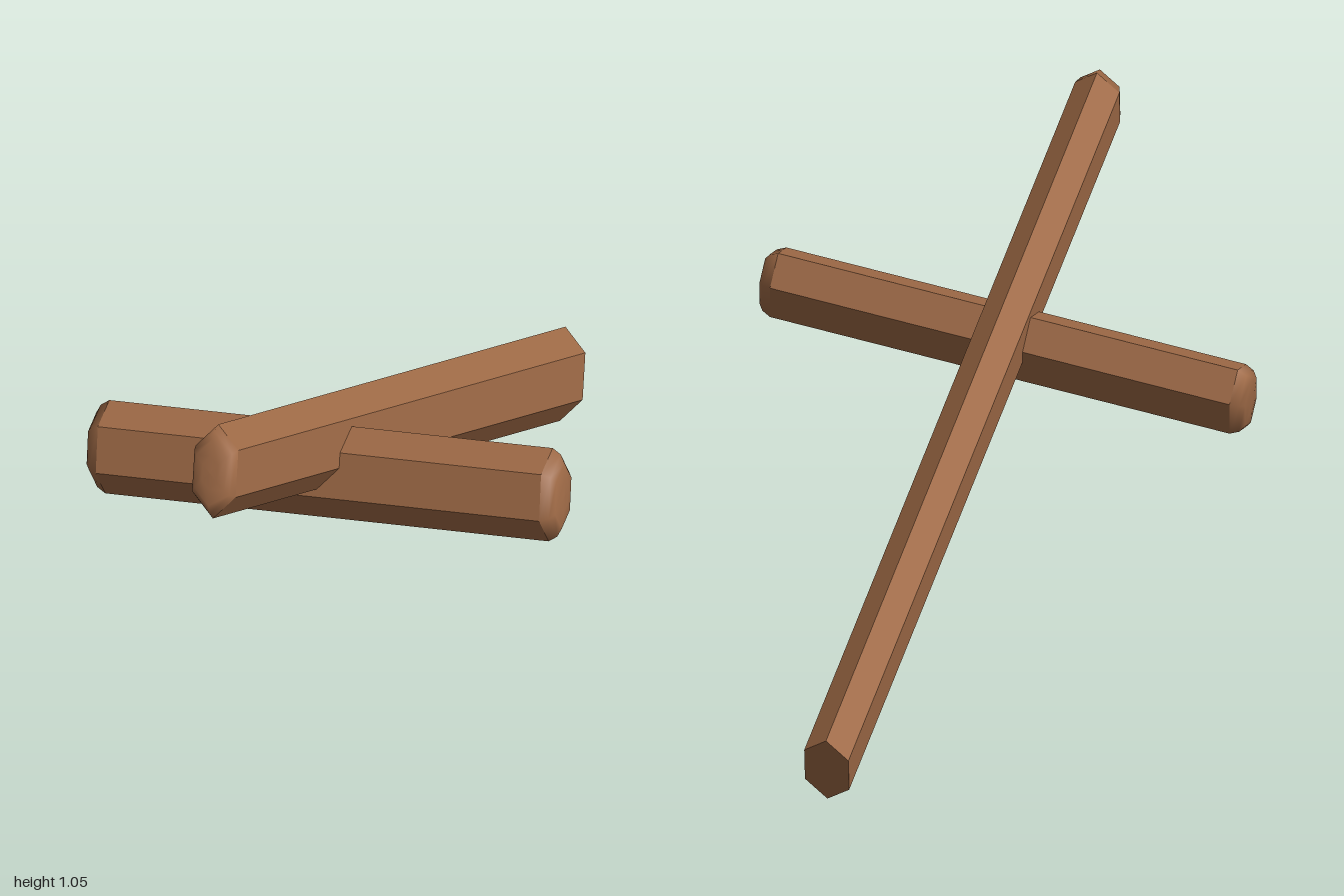
import * as THREE from 'three';

const wood = new THREE.MeshStandardMaterial({ color: 0xa06b47 });
wood.name = 'brown wood';

// Six-sided, flattened stick from one point to another.
// ridge points to one corner of the section; halfWidth is measured across it.
function stick(name, from, to, ridge, halfWidth, domes) {
  const a = new THREE.Vector3(...from);
  const b = new THREE.Vector3(...to);
  const r = new THREE.Vector3(...ridge);
  const radius = r.length();
  const length = a.distanceTo(b);
  const squash = halfWidth / (radius * Math.cos(Math.PI / 6));

  const group = new THREE.Group();
  group.name = name;

  // Faceted shaft
  const shaftGeo = new THREE.CylinderGeometry(radius, radius, length, 6).toNonIndexed();
  shaftGeo.scale(squash, 1, 1);
  shaftGeo.computeVertexNormals();
  const shaft = new THREE.Mesh(shaftGeo, wood);
  shaft.name = name + 'Shaft';
  group.add(shaft);

  // Smooth, shallow rounded ends
  const profile = [[1, 0], [0.88, 0.022], [0.7, 0.033], [0.35, 0.036], [0, 0.037]]
    .map(([s, h]) => new THREE.Vector2(s * radius, h));
  for (const end of domes) {
    const geo = new THREE.LatheGeometry(profile, 6);
    geo.scale(squash, 1, 1);
    if (end < 0) geo.rotateX(Math.PI);
    geo.translate(0, end * length / 2, 0);
    const dome = new THREE.Mesh(geo, wood);
    dome.name = name + (end < 0 ? 'StartCap' : 'EndCap');
    group.add(dome);
  }

  // Length runs along local y, the ridge along local z
  const y = b.clone().sub(a).normalize();
  const x = new THREE.Vector3().crossVectors(y, r).normalize();
  const z = new THREE.Vector3().crossVectors(x, y);
  group.quaternion.setFromRotationMatrix(new THREE.Matrix4().makeBasis(x, y, z));
  group.position.copy(a).add(b).multiplyScalar(0.5);
  return group;
}

export function createModel() {
  const model = new THREE.Group();
  model.name = 'crossedSticks';
  model.add(
    // Long leaning stick, cut flat at the foot
    stick('longStick', [0.305, 0.108, -0.95], [-0.16, 0.95, 0.935],
      [-0.003, 0.1045, -0.0475], 0.056, [1]),
    // Short crossbar, rounded at both ends
    stick('crossbar', [-0.57, 0.532, 0.24], [0.565, 0.675, 0.453],
      [-0.0045, 0.104, -0.046], 0.065, [-1, 1]),
  );
  return model;
}
